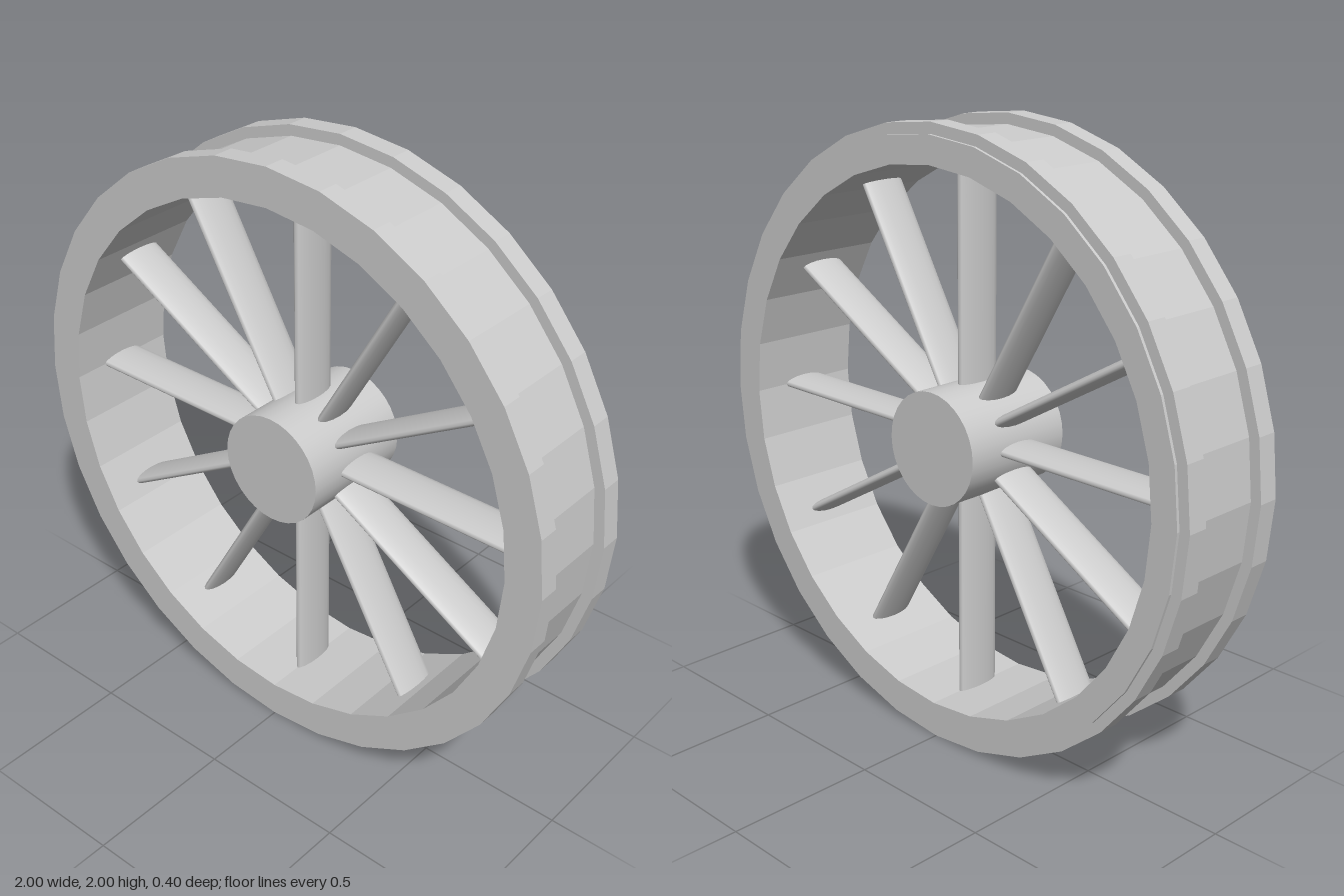
import * as THREE from 'three';

const SPOKES = 12;
const SIDES = 32;

export function createModel() {
  const model = new THREE.Group();
  const smooth = new THREE.MeshStandardMaterial({ color: 0xcccccc });
  const faceted = new THREE.MeshStandardMaterial({ color: 0xcccccc, flatShading: true });

  // Everything is built around the axle, which sits one radius above the floor
  const wheel = new THREE.Group();
  wheel.name = 'wheel';
  wheel.position.y = 1;
  model.add(wheel);

  const add = (name, geometry, material) => {
    const mesh = new THREE.Mesh(geometry, material);
    mesh.name = name;
    wheel.add(mesh);
    return mesh;
  };

  // Rim: closed section (radius, z) with two flanges and a small lip at the back
  const section = [
    [0.876, -0.2], [0.965, -0.2], [0.965, -0.19], [1, -0.19], [1, -0.12], [0.965, -0.12],
    [0.965, 0.13], [1, 0.13], [1, 0.2], [0.876, 0.2], [0.876, -0.2],
  ].map(([r, z]) => new THREE.Vector2(r, z));
  add('rim', new THREE.LatheGeometry(section, SIDES).rotateX(Math.PI / 2), faceted);

  // Hub: solid drum as wide as the rim
  add('hub', new THREE.CylinderGeometry(0.184, 0.184, 0.4, SIDES).rotateX(Math.PI / 2), smooth);

  // Spokes: oval bars, deep along the axle, buried in the hub and the rim
  const inner = 0.15, outer = 0.9;
  const spoke = new THREE.CylinderGeometry(1, 1, outer - inner, 16)
    .scale(0.022, 1, 0.081)
    .translate(0, (inner + outer) / 2, 0);
  for (let i = 0; i < SPOKES; i++) {
    add(`spoke${i + 1}`, spoke, smooth).rotation.z = (i / SPOKES) * Math.PI * 2;
  }

  return model;
}
